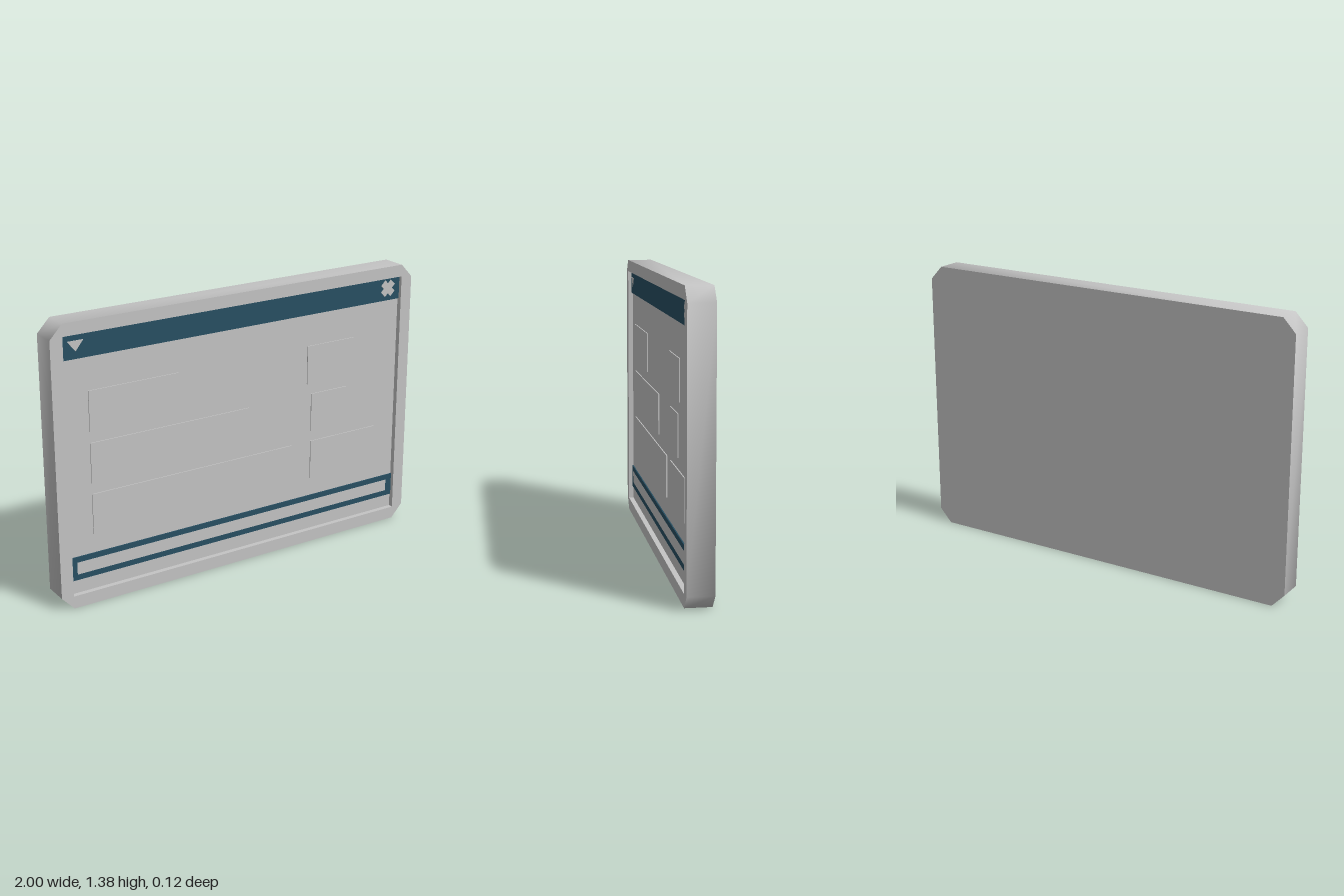
import * as THREE from 'three';
import { toCreasedNormals } from 'three/addons/utils/BufferGeometryUtils.js';

const W = 1, H = 1.376, CUT = 0.063; // half width, height, corner cut
const FRONT = 0.062, SCREEN = 0.037; // z of the frame front and of the recessed screen

const outline = (pts) => pts.map(([x, y]) => new THREE.Vector2(x, y));
const rect = (x0, x1, y0, y1) => outline([[x0, y0], [x1, y0], [x1, y1], [x0, y1]]);

export function createModel() {
  const grey = new THREE.MeshStandardMaterial({ name: 'light grey', color: 0xc4c4c4 });
  const blue = new THREE.MeshStandardMaterial({ name: 'dark blue', color: 0x284f62 });
  const group = new THREE.Group();
  group.name = 'windowPanel';

  // Extrudes an outline (with optional hole) between two depths
  function slab(name, points, z0, z1, material, hole) {
    const shape = new THREE.Shape(points);
    if (hole) shape.holes.push(new THREE.Path(hole));
    const geometry = new THREE.ExtrudeGeometry(shape, { depth: z1 - z0, bevelEnabled: false });
    geometry.translate(0, 0, z0);
    // soft shading around the cut corners, sharp at right angles
    const mesh = new THREE.Mesh(toCreasedNormals(geometry, Math.PI / 3), material);
    mesh.name = name;
    group.add(mesh);
    return mesh;
  }

  const octagon = outline([
    [-W + CUT, 0], [W - CUT, 0], [W, CUT + 0.004], [W, H - CUT - 0.004],
    [W - CUT, H], [-W + CUT, H], [-W, H - CUT - 0.004], [-W, CUT + 0.004],
  ]);
  const opening = rect(-0.938, 0.938, 0.062, 1.316);

  // Body: a frame around the recessed screen, closed at the back
  slab('frame', octagon, -FRONT, FRONT, grey, opening);
  slab('screen', opening, -FRONT, SCREEN, grey);

  // Title bar with its icons
  slab('titleBar', rect(-0.938, 0.938, 1.2, 1.316), SCREEN, SCREEN + 0.008, blue);
  const iconZ = SCREEN + 0.008;
  slab('menuArrow', outline([[-0.91, 1.285], [-0.87, 1.235], [-0.83, 1.285]]), iconZ, iconZ + 0.002, grey);
  const a = 0.018, b = 0.042; // half thickness and half length of the cross
  const cross = slab('closeCross', outline([
    [-a, -b], [a, -b], [a, -a], [b, -a], [b, a], [a, a],
    [a, b], [-a, b], [-a, a], [-b, a], [-b, -a], [-a, -a],
  ]), iconZ, iconZ + 0.002, grey);
  cross.rotation.z = Math.PI / 4;
  cross.position.set(0.866, 1.262, 0);

  // Text fields, three rows in two columns
  [
    [-0.813, -0.342, 0.845, 1.04], [-0.813, 0.043, 0.593, 0.79], [-0.813, 0.299, 0.34, 0.54],
    [0.385, 0.663, 0.845, 1.04], [0.412, 0.626, 0.593, 0.79], [0.412, 0.813, 0.34, 0.54],
  ].forEach((r, i) => slab(`field${i + 1}`, rect(...r), SCREEN, SCREEN + 0.005, grey));

  // Progress bar: blue border around a grey strip
  const strip = rect(-0.905, 0.902, 0.158, 0.219);
  slab('progressBorder', rect(-0.938, 0.938, 0.13, 0.246), SCREEN, SCREEN + 0.006, blue, strip);
  slab('progressStrip', strip, SCREEN, SCREEN + 0.006, grey);

  return group;
}
